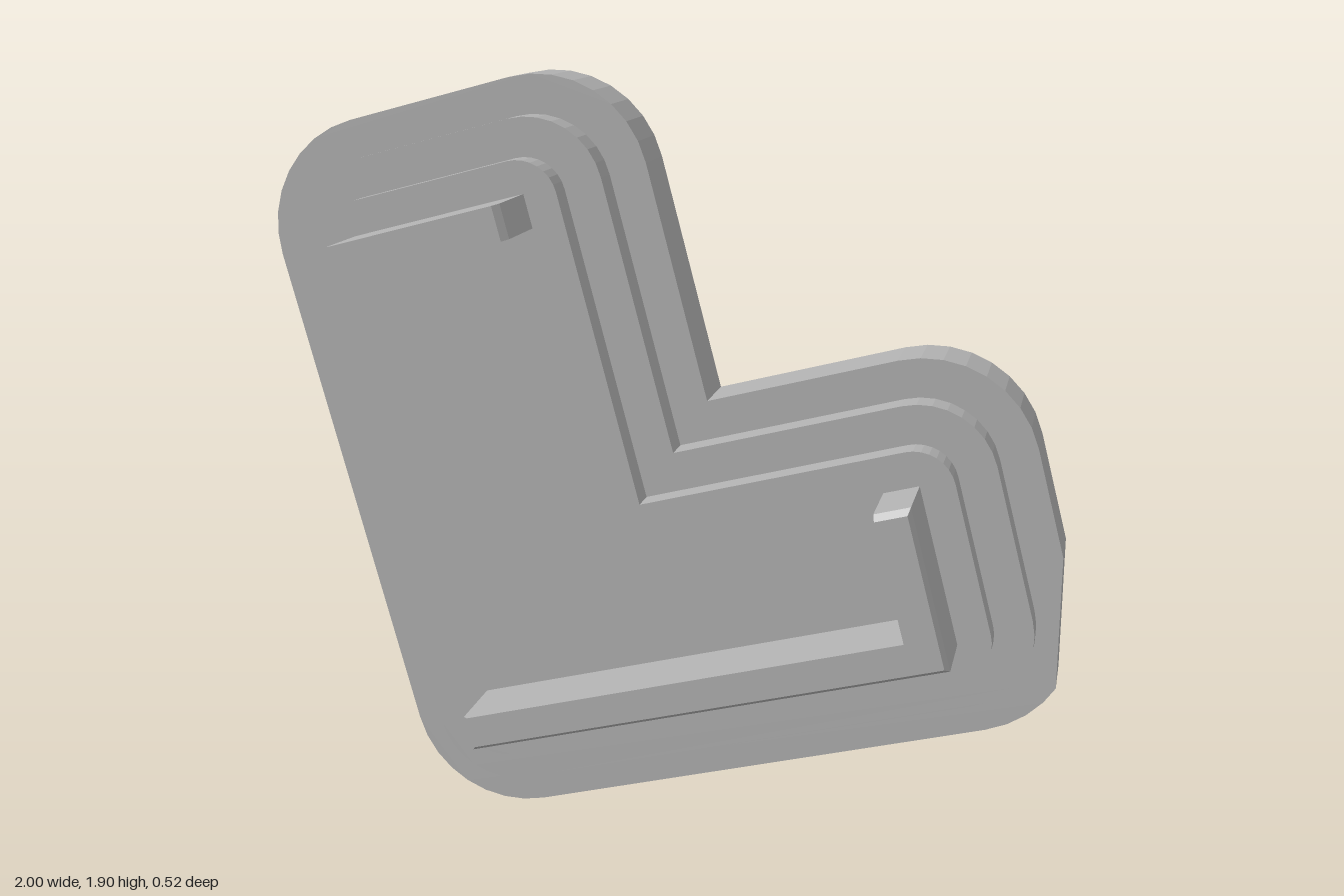
import * as THREE from 'three';

const TILT = Math.PI / 12;
const MAX_X = 1; // the base plate is trimmed by a vertical cut here

// turn tilted-frame coordinates into upright ones
const tilt = ([u, v]) => new THREE.Vector2(u, v).rotateAround(new THREE.Vector2(), TILT);

// L-shaped outline, shrunk by d, with five rounded corners and one sharp inner corner
function outline(d) {
  const l = -0.583 + d, r = 1.168 - d, b = 0.093 + d, t = 1.931 - d;
  const iu = 0.406 - d, iv = 1.051 - d, R = 0.28 - d * 0.95, steps = 8;
  const pts = [];
  const corner = (cu, cv, a0) => {
    for (let i = 0; i <= steps; i++) {
      const a = a0 + (i / steps) * Math.PI / 2;
      pts.push([cu + R * Math.cos(a), cv + R * Math.sin(a)]);
    }
  };
  corner(l + R, b + R, Math.PI);
  corner(r - R, b + R, -Math.PI / 2);
  corner(r - R, iv - R, 0);
  pts.push([iu, iv]);
  corner(iu - R, t - R, 0);
  corner(l + R, t - R, Math.PI / 2);
  return clip(pts.map(tilt));
}

// cut off everything beyond MAX_X
function clip(pts) {
  const out = [];
  pts.forEach((p, i) => {
    const q = pts[(i + 1) % pts.length];
    if (p.x <= MAX_X) out.push(p);
    if ((p.x <= MAX_X) !== (q.x <= MAX_X)) out.push(p.clone().lerp(q, (MAX_X - p.x) / (q.x - p.x)));
  });
  return out;
}

// straight prism between two depths
function prism(pts, z0, z1) {
  const g = new THREE.ExtrudeGeometry(new THREE.Shape(pts), { depth: z1 - z0, bevelEnabled: false });
  return g.translate(0, 0, z0);
}

// prism whose front outline is replaced by a slightly smaller one
function chamferCap(pts, front, z0, z1) {
  const g = prism(pts, z0, z1), p = g.attributes.position;
  for (let i = 0; i < p.count; i++) {
    if (p.getZ(i) < (z0 + z1) / 2) continue;
    const k = pts.findIndex(c => Math.hypot(c.x - p.getX(i), c.y - p.getY(i)) < 1e-4);
    p.setXY(i, front[k].x, front[k].y);
  }
  g.computeVertexNormals();
  return g;
}

export function createModel() {
  const model = new THREE.Group();
  model.name = 'steppedPlate';
  const grey = new THREE.MeshStandardMaterial({ color: 0xb0b0b0 });
  grey.name = 'grey';
  const add = (name, geometry, parent = model) => {
    const mesh = new THREE.Mesh(geometry, grey);
    mesh.name = name;
    parent.add(mesh);
  };

  // three stacked plates
  add('basePlate', prism(outline(0), -0.258, -0.091));
  add('middlePlate', prism(outline(0.095), -0.091, -0.011));
  add('frontPlate', prism(outline(0.19), -0.011, 0.061));

  // raised bars with chamfered front edges
  const bar = (name, base, front) => {
    const group = new THREE.Group();
    group.name = name;
    const b = base.map(tilt), f = front.map(tilt);
    add(name + 'Body', prism(b, 0.061, 0.243), group);
    add(name + 'Chamfer', chamferCap(b, f, 0.243, 0.258), group);
    model.add(group);
  };
  bar('upperBar',
    [[-0.309, 1.573], [0.136, 1.573], [0.136, 1.657], [-0.309, 1.657]],
    [[-0.295, 1.573], [0.120, 1.573], [0.120, 1.657], [-0.295, 1.657]]);
  bar('cornerBar',
    [[-0.308, 0.374], [0.895, 0.374], [0.895, 0.774], [0.807, 0.774], [0.807, 0.461], [-0.308, 0.461]],
    [[-0.295, 0.384], [0.885, 0.384], [0.885, 0.759], [0.807, 0.759], [0.807, 0.461], [-0.295, 0.461]]);

  return model;
}
